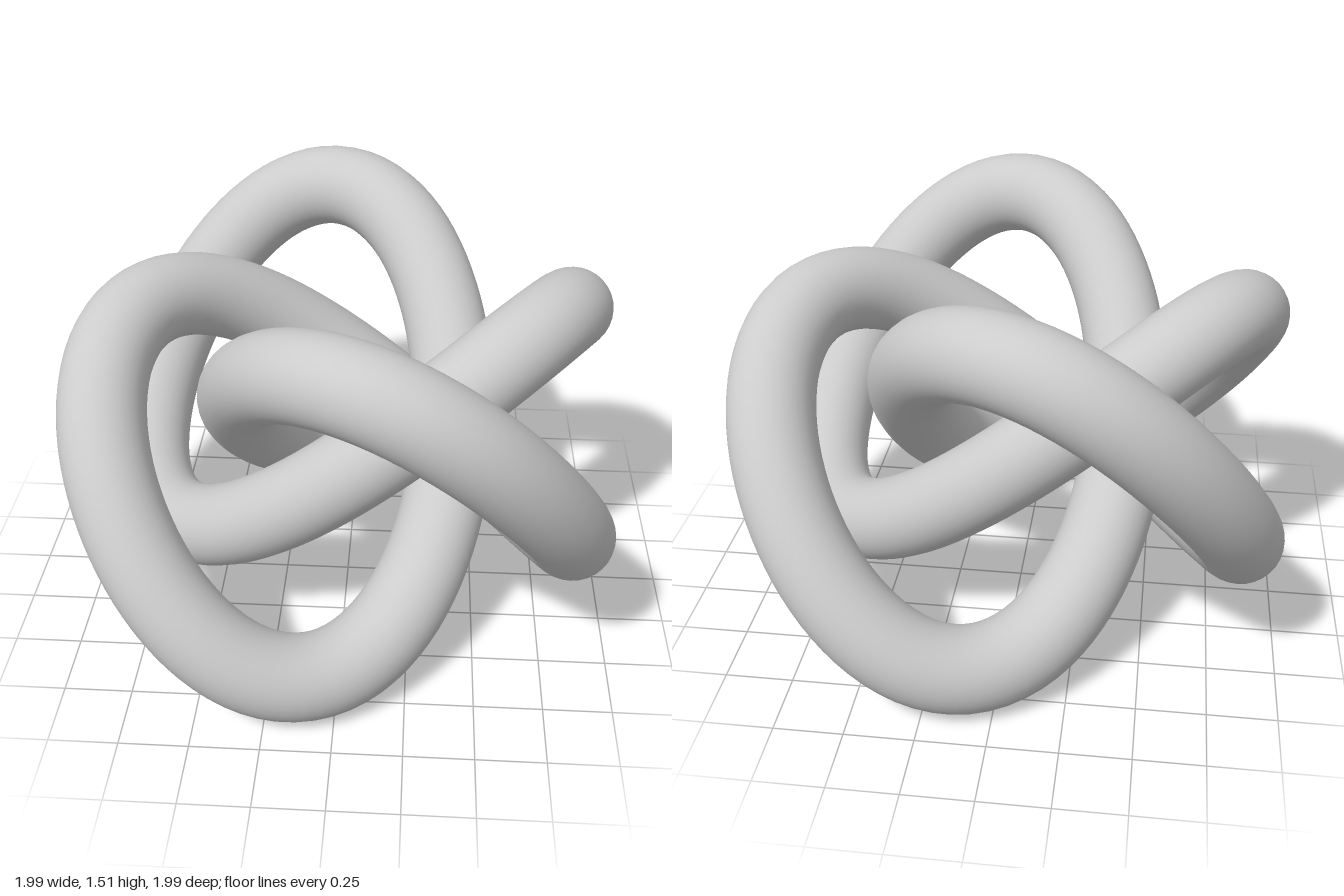
import * as THREE from 'three';

// Closed knot: four lobes wound three times around the vertical axis,
// weaving up and down four times, with a slight two-fold stretch.
class KnotPath extends THREE.Curve {
  getPoint(t, target = new THREE.Vector3()) {
    const s = t * Math.PI * 2;
    const A = 0.69, B = 0.29;
    return target.set(
      A * Math.cos(3 * s) - B * Math.cos(s),
      0.757 + 0.116 * Math.sin(2 * s) + 0.518 * Math.sin(4 * s),
      -A * Math.sin(3 * s) - B * Math.sin(s)
    );
  }
}

export function createModel() {
  const group = new THREE.Group();
  group.name = 'knot';

  const path = new KnotPath();
  path.arcLengthDivisions = 1000;
  const tube = new THREE.Mesh(
    new THREE.TubeGeometry(path, 320, 0.156, 32, true),
    new THREE.MeshStandardMaterial({ color: 0xcccccc })
  );
  tube.name = 'knotTube';
  group.add(tube);

  return group;
}
